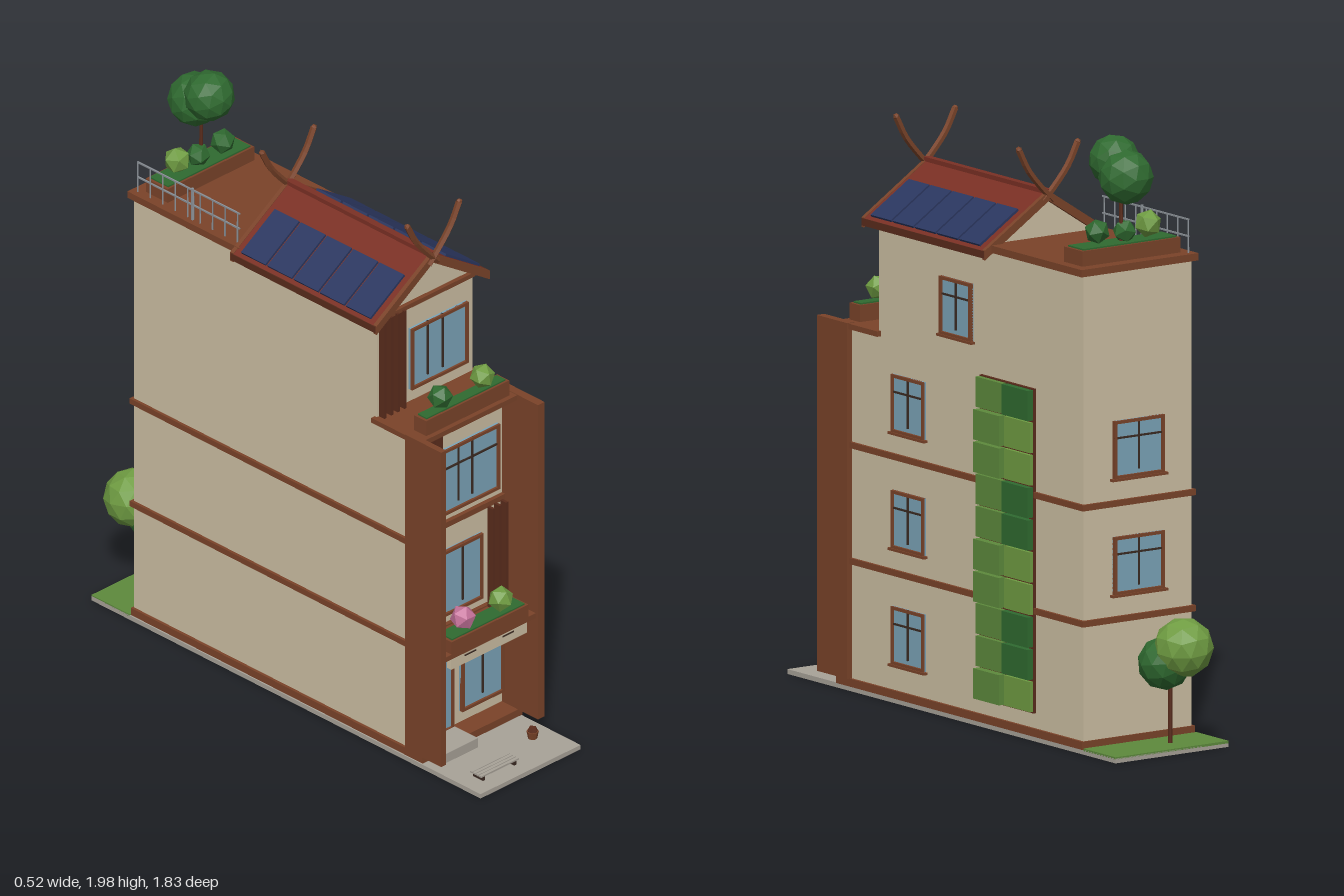
import * as THREE from 'three';

const C = {
  wall: 0xcdbfa3, brown: 0x7a4329, dark: 0x5a2c1c, roof: 0x7a3024, panel: 0x2b3760, glass: 0x7ba4b8,
  stone: 0xa8a298, grass: 0x5d8a3c, leaf: 0x2f6a30, light: 0x6f9c42, pink: 0xc4729a, metal: 0x8a9096, line: 0x3a2a22,
};
const mats = {};
const mat = (c) => (mats[c] ??= new THREE.MeshStandardMaterial({ color: C[c], flatShading: true, roughness: 0.9 }));

export function createModel() {
  const model = new THREE.Group();
  model.name = 'townhouse';

  const mesh = (name, color, geo, parent = model) => {
    const m = new THREE.Mesh(geo, mat(color));
    m.name = name;
    parent.add(m);
    return m;
  };
  // Box given by its min and max on each axis
  const box = (name, color, x0, x1, y0, y1, z0, z1, parent) => {
    const m = mesh(name, color, new THREE.BoxGeometry(x1 - x0, y1 - y0, z1 - z0), parent);
    m.position.set((x0 + x1) / 2, (y0 + y1) / 2, (z0 + z1) / 2);
    return m;
  };
  const ball = (name, color, x, y, z, r, detail = 0) => {
    const m = mesh(name, color, new THREE.IcosahedronGeometry(r, detail));
    m.position.set(x, y, z);
    m.rotation.set(x * 9, z * 7, y * 5);
    return m;
  };
  const rod = (name, color, x, y0, y1, z, r) => {
    const m = mesh(name, color, new THREE.CylinderGeometry(r * 0.8, r, y1 - y0, 6));
    m.position.set(x, (y0 + y1) / 2, z);
  };
  // Framed window facing +z, turned by ry
  const windowAt = (name, x, y, z, w, h, ry = 0, mullions = [0], transom = 0.3) => {
    const g = new THREE.Group();
    g.name = name;
    g.position.set(x, y, z);
    g.rotation.y = ry;
    model.add(g);
    const a = w / 2, b = h / 2, t = 0.01;
    box('glass', 'glass', -a, a, -b, b, -0.004, 0.004, g);
    for (const s of [-1, 1]) {
      box('frameSide', 'brown', s * (a - t / 2) - t / 2, s * (a - t / 2) + t / 2, -b, b, 0, 0.012, g);
      box('frameRail', 'brown', -a, a, s * (b - t / 2) - t / 2, s * (b - t / 2) + t / 2, 0, 0.012, g);
    }
    for (const u of mullions) box('mullion', 'line', u * w - 0.003, u * w + 0.003, -b * 0.75, b, 0, 0.009, g);
    if (transom) box('transom', 'line', -a, a, b - transom * h - 0.003, b - transom * h + 0.003, 0, 0.009, g);
    return g;
  };

  // Ground
  box('groundSlab', 'stone', -0.23, 0.22, 0.018, 0.034, -0.86, 0.92);
  box('lawn', 'grass', -0.23, 0.22, 0.03, 0.038, -0.86, -0.685);
  box('plinth', 'brown', -0.225, 0.225, 0.034, 0.06, -0.685, 0.65);

  // Walls, floor bands and side fins
  box('lowerStoreys', 'wall', -0.215, 0.215, 0.05, 1.21, -0.68, 0.575);
  box('topStorey', 'wall', -0.215, 0.215, 1.21, 1.59, -0.68, 0.43);
  for (const y of [0.435, 0.815]) box('floorBand', 'brown', -0.225, 0.225, y, y + 0.02, -0.69, 0.59);
  box('leftFin', 'brown', 0.205, 0.235, 0.06, 1.225, 0.575, 0.74);
  box('rightFin', 'brown', -0.23, -0.208, 0.06, 1.225, 0.575, 0.74);
  box('terraceSlab', 'brown', -0.23, 0.23, 1.205, 1.223, 0.42, 0.645);
  box('roofSlab', 'brown', -0.235, 0.23, 1.582, 1.606, -0.69, -0.18);

  // Gabled roof
  const prism = (name, color, pts, z0, z1) => {
    const geo = new THREE.ExtrudeGeometry(new THREE.Shape(pts.map((p) => new THREE.Vector2(...p))),
      { depth: z1 - z0, bevelEnabled: false });
    geo.translate(0, 0, z0);
    return mesh(name, color, geo);
  };
  const chevron = (top, drop) => [[-0.255, top - 0.165], [-0.255, top - 0.165 - drop], [0, top - drop],
    [0.255, top - 0.165 - drop], [0.255, top - 0.165], [0, top]];
  prism('gableWall', 'wall', [[-0.215, 1.59], [0.215, 1.59], [0, 1.735]], -0.18, 0.43);
  prism('roofCover', 'roof', chevron(1.755, 0.02), -0.195, 0.465);
  for (const z of [-0.2, 0.455]) prism('bargeBoard', 'brown', chevron(1.757, 0.032), z, z + 0.015);
  box('ridgeCap', 'roof', -0.012, 0.012, 1.745, 1.762, -0.195, 0.465);
  box('tieBeam', 'brown', -0.215, 0.215, 1.578, 1.594, 0.425, 0.445);
  const slope = Math.atan2(0.165, 0.255);
  for (const s of [-1, 1]) {
    box('eaveBoard', 'dark', s * 0.25 - 0.008, s * 0.25 + 0.008, 1.566, 1.59, -0.195, 0.465);
    for (let i = 0; i < 5; i++) {
      const p = mesh('solarPanel', 'panel', new THREE.BoxGeometry(0.182, 0.008, 0.111));
      p.position.set(s * 0.169, 1.651, -0.103 + i * 0.12);
      p.rotation.z = -s * slope;
    }
    // Curved horns crossing over each gable
    for (const z of [-0.195, 0.47]) {
      const path = new THREE.CatmullRomCurve3([[-0.02, 1.725], [0.03, 1.775], [0.08, 1.835], [0.117, 1.905]]
        .map(([x, y]) => new THREE.Vector3(s * x, y, z)));
      mesh('gableHorn', 'brown', new THREE.TubeGeometry(path, 8, 0.011, 5)).material = mat('brown');
      ball('hornTip', 'brown', s * 0.117, 1.905, z, 0.011);
    }
  }

  // Front windows, door and shopfront
  windowAt('topWindow', 0.053, 1.385, 0.437, 0.255, 0.225, 0, [-0.2, 0.06], 0);
  windowAt('thirdFloorWindow', 0.053, 0.985, 0.582, 0.255, 0.24, 0, [-0.22, 0.02]);
  windowAt('secondFloorWindow', -0.035, 0.61, 0.582, 0.28, 0.24, 0, [-0.18, 0.18], 0);
  windowAt('frontDoor', -0.103, 0.205, 0.582, 0.155, 0.29, 0, [0], 0);
  windowAt('shopWindow', 0.105, 0.238, 0.582, 0.19, 0.265, 0, [0], 0);
  box('doorStep', 'stone', -0.18, -0.025, 0.034, 0.068, 0.58, 0.7);
  box('doorHead', 'brown', -0.205, 0.205, 0.352, 0.36, 0.575, 0.585);

  // Side and back windows with sills
  const plain = (name, x, y, z, w, ry) => {
    const g = windowAt(name, x, y, z, w, 0.19, ry);
    box('sill', 'brown', -w / 2 - 0.01, w / 2 + 0.01, -0.102, -0.094, 0, 0.016, g);
  };
  for (const y of [0.24, 0.62, 1.0]) plain('sideWindow', 0.216, y, 0.263, 0.175, Math.PI / 2);
  plain('sideWindow', 0.216, 1.365, 0.003, 0.17, Math.PI / 2);
  for (const y of [0.62, 1.0]) plain('backWindow', 0, y, -0.681, 0.2, Math.PI);

  // Vertical slat screens
  const slats = (xs, y0, y1, z) => xs.forEach((x) => box('slat', 'dark', x - 0.005, x + 0.005, y0, y1, z, z + 0.025));
  slats([-0.2, -0.17, -0.14, -0.11], 1.222, 1.585, 0.43);
  slats([-0.195, -0.165, -0.135, -0.105], 0.83, 1.21, 0.59);
  slats([0.13, 0.16, 0.19], 0.45, 0.82, 0.59);

  // Balcony with planter and blank signboard
  box('balconyFloor', 'brown', -0.208, 0.208, 0.432, 0.45, 0.575, 0.73);
  box('signboard', 'wall', -0.17, 0.17, 0.39, 0.436, 0.705, 0.725);
  box('signLight', 'line', -0.11, -0.06, 0.418, 0.422, 0.725, 0.728);
  box('signLight', 'line', 0.06, 0.11, 0.418, 0.422, 0.725, 0.728);
  const planter = (name, y, z, w, x, h, d) => {
    box(name, 'brown', -w, w, y, y + h, z - d, z + d);
    box(name + 'Soil', 'leaf', -w + 0.01, w - 0.01, y + h, y + h + 0.005, z - d + 0.008, z + d - 0.008);
  };
  planter('balconyPlanter', 0.445, 0.692, 0.173, 0, 0.05, 0.038);
  ball('pinkFlowers', 'pink', -0.085, 0.537, 0.692, 0.043);
  ball('balconyBush', 'light', 0.085, 0.537, 0.692, 0.043);
  planter('terracePlanter', 1.222, 0.6, 0.187, 0, 0.056, 0.028);
  ball('terraceBush', 'leaf', -0.097, 1.322, 0.6, 0.042);
  ball('terraceBush', 'light', 0.093, 1.322, 0.6, 0.042);

  // Roof garden with tree and railing
  planter('roofPlanter', 1.604, -0.597, 0.195, 0, 0.052, 0.05);
  ball('roofBush', 'light', -0.1, 1.705, -0.6, 0.046);
  ball('roofBush', 'leaf', 0.095, 1.7, -0.59, 0.042);
  ball('roofBush', 'leaf', -0.01, 1.69, -0.595, 0.04);
  rod('roofTreeTrunk', 'dark', 0.005, 1.65, 1.85, -0.597, 0.007);
  ball('roofTreeCrown', 'leaf', 0.005, 1.918, -0.56, 0.084, 1);
  ball('roofTreeCrown', 'leaf', 0.01, 1.875, -0.63, 0.09, 1);
  for (let i = 0; i < 9; i++) rod('railPost', 'metal', -0.212, 1.6, 1.715, -0.21 - i * 0.057, 0.003);
  rod('railMainPost', 'metal', -0.212, 1.6, 1.722, -0.415, 0.006);
  for (const y of [1.66, 1.715]) box('handrail', 'metal', -0.2145, -0.2095, y - 0.0025, y + 0.0025, -0.668, -0.2);

  // Green wall
  for (let r = 0; r < 10; r++) {
    for (let c = 0; c < 2; c++) {
      const y = 0.115 + r * 0.106, z = -0.42 + c * 0.148, k = (r * 5 + c * 3 + r * r) % 4;
      box('greenWallPanel', ['light', 'grass', 'leaf', 'grass'][k], 0.222, 0.238 + k * 0.005, y, y + 0.099, z, z + 0.14);
    }
  }
  box('greenWallBacking', 'dark', 0.21, 0.226, 0.11, 1.172, -0.422, -0.13);

  // Back garden tree
  rod('gardenTreeTrunk', 'dark', -0.06, 0.035, 0.3, -0.775, 0.008);
  ball('gardenTreeCrown', 'light', -0.08, 0.355, -0.82, 0.098, 1);
  ball('gardenTreeCrown', 'leaf', -0.045, 0.3, -0.765, 0.088, 1);

  // Front bench and flower pot
  for (let i = 0; i < 4; i++) box('benchSlat', 'stone', -0.175, -0.005, 0.05, 0.056, 0.815 + i * 0.014, 0.826 + i * 0.014);
  for (const x of [-0.165, -0.025]) box('benchLeg', 'line', x, x + 0.01, 0.034, 0.05, 0.82, 0.865);
  const pot = mesh('flowerPot', 'brown', new THREE.CylinderGeometry(0.02, 0.015, 0.026, 8));
  pot.position.set(0.142, 0.047, 0.78);
  ball('potPlant', 'dark', 0.142, 0.062, 0.78, 0.018);

  return model;
}
